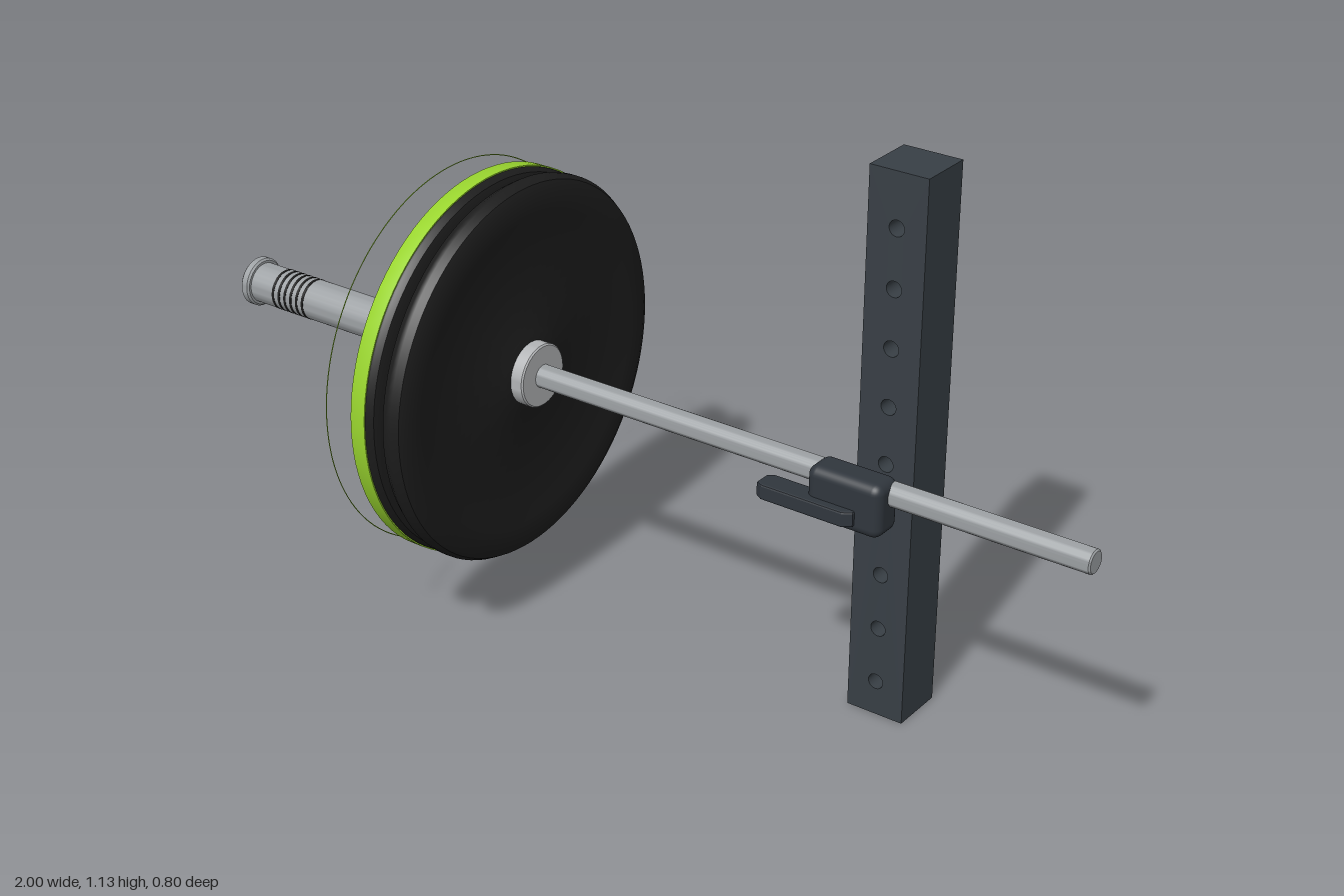
import * as THREE from 'three';
import { RoundedBoxGeometry } from 'three/addons/geometries/RoundedBoxGeometry.js';
import { toCreasedNormals } from 'three/addons/utils/BufferGeometryUtils.js';

const BAR_Y = 0.54;

function material(name, color, side = THREE.FrontSide) {
  const m = new THREE.MeshStandardMaterial({ color, side });
  m.name = name;
  return m;
}

export function createModel() {
  const group = new THREE.Group();
  const steel = material('steel', 0x9da1a4);
  const lightSteel = material('light steel', 0xb2b4b6);
  const rubber = material('black rubber', 0x1c1c1c);
  const green = material('lime green', 0x9ad62f);
  const postGrey = material('slate grey', 0x383f45);
  const latchGrey = material('dark slate', 0x30363d);

  function add(name, geometry, mat, x = 0, y = 0, z = 0) {
    const mesh = new THREE.Mesh(geometry, mat);
    mesh.name = name;
    mesh.position.set(x, y, z);
    group.add(mesh);
    return mesh;
  }

  // Solid of revolution about the bar: points are [radius, x], with x rising
  function turned(name, points, mat, segments = 64) {
    const lathe = new THREE.LatheGeometry(points.map(([r, x]) => new THREE.Vector2(r, x)), segments);
    lathe.rotateZ(-Math.PI / 2);
    return add(name, toCreasedNormals(lathe, 0.6), mat, 0, BAR_Y, 0);
  }

  const disc = (name, x0, x1, r, mat, segments = 64) =>
    turned(name, [[0, x0], [r, x0], [r, x1], [0, x1]], mat, segments);

  // Bar, loading sleeve and its collars
  turned('barShaft', [[0, -0.3], [0.024, -0.3], [0.024, 0.997], [0.021, 1], [0, 1]], steel, 32);
  disc('sleeve', -0.985, -0.25, 0.043, steel, 48);
  turned('sleeveEndCap', [[0, -1], [0.048, -1], [0.052, -0.996], [0.052, -0.982], [0.048, -0.978], [0, -0.978]], steel, 48);
  turned('innerCollar', [[0, -0.26], [0.066, -0.26], [0.066, -0.228], [0.063, -0.225], [0, -0.225]], lightSteel, 48);

  // Dark grip rings in two bands on the sleeve
  for (const start of [-0.915, -0.61]) {
    for (let i = 0; i < 6; i++) {
      const x = start + i * 0.0165;
      disc('gripRing', x - 0.003, x + 0.003, 0.0437, rubber, 48);
    }
  }

  // Inner plate: rounded rim, shallow dished faces and raised hub
  turned('innerPlate', [
    [0, -0.32], [0.085, -0.32], [0.095, -0.31], [0.30, -0.304], [0.33, -0.309],
    [0.375, -0.309], [0.39, -0.302], [0.398, -0.288],
    [0.398, -0.277], [0.39, -0.263], [0.375, -0.256],
    [0.33, -0.256], [0.30, -0.261], [0.095, -0.258], [0.085, -0.254], [0, -0.254],
  ], rubber, 96);

  // Outer plate: rubber body with a broad green rim band
  turned('outerPlate', [
    [0, -0.384], [0.06, -0.384], [0.085, -0.380], [0.095, -0.376], [0.392, -0.376],
    [0.392, -0.345], [0.398, -0.345], [0.397, -0.336], [0.39, -0.325], [0.375, -0.319],
    [0.33, -0.319], [0.30, -0.324], [0.095, -0.321], [0.085, -0.316], [0, -0.316],
  ], rubber, 96);
  turned('greenRimBand', [
    [0.38, -0.375], [0.399, -0.375], [0.4, -0.373], [0.4, -0.34], [0.38, -0.34],
  ], green, 96);

  // Hair-thin hoop standing off the outer plate
  const hoop = add('thinHoop', new THREE.TorusGeometry(0.399, 0.001, 6, 128), green, -0.437, BAR_Y, 0);
  hoop.rotation.y = Math.PI / 2;

  // Square upright with a row of through holes
  const outline = new THREE.Shape();
  outline.moveTo(-0.0615, 0).lineTo(0.0615, 0).lineTo(0.0615, 1.13).lineTo(-0.0615, 1.13).closePath();
  for (let i = 0; i < 9; i++) {
    const hole = new THREE.Path();
    hole.absarc(0, 0.073 + i * 0.1185, 0.016, 0, Math.PI * 2, true);
    outline.holes.push(hole);
  }
  add('upright', new THREE.ExtrudeGeometry(outline, { depth: 0.115, bevelEnabled: false, curveSegments: 24 }),
    postGrey, 0.522, 0, -0.192);

  // Latch block around the bar
  add('latchBlock', new RoundedBoxGeometry(0.16, 0.11, 0.072, 4, 0.02), latchGrey, 0.51, 0.517, 0.018);

  // Flat lever reaching from the latch towards the plates
  const lever = new THREE.Shape();
  lever.moveTo(0.335, 0.034).lineTo(0.335, 0.062).lineTo(0.345, 0.068).lineTo(0.52, 0.068)
    .lineTo(0.535, 0.058).lineTo(0.535, 0.026).lineTo(0.345, 0.026).closePath();
  const leverGeometry = new THREE.ExtrudeGeometry(lever, {
    depth: 0.024, bevelEnabled: true, bevelThickness: 0.004, bevelSize: 0.004, bevelSegments: 2,
  });
  leverGeometry.rotateX(Math.PI / 2);
  add('latchLever', leverGeometry, latchGrey, 0, 0.508, 0);

  return group;
}
